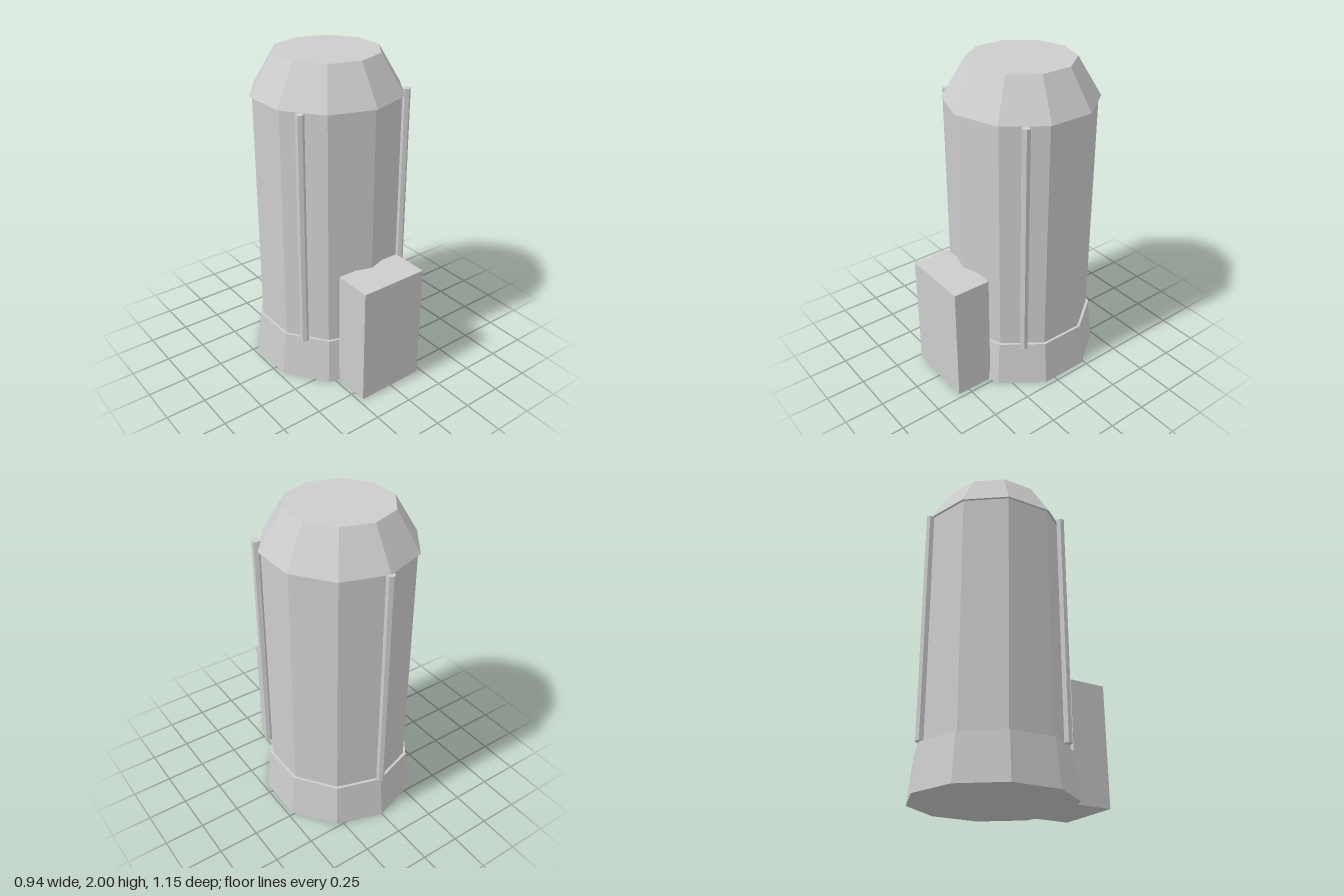
import * as THREE from 'three';

export function createModel() {
  const model = new THREE.Group();
  const grey = new THREE.MeshStandardMaterial({ color: 0xcccccc, flatShading: true });
  grey.name = 'light grey';
  const axisZ = -0.08; // the tower sits slightly behind the centre

  const add = (name, geometry, x, y, z) => {
    const mesh = new THREE.Mesh(geometry, grey);
    mesh.name = name;
    mesh.position.set(x, y, z);
    model.add(mesh);
  };
  // Upright prism between two heights
  const prism = (name, rTop, rBottom, y0, y1, sides, x, z) =>
    add(name, new THREE.CylinderGeometry(rTop, rBottom, y1 - y0, sides), x, (y0 + y1) / 2, z);

  // Ten-sided tower: flared base, straight body, tapered cap
  prism('base', 0.465, 0.496, 0, 0.29, 10, 0, axisZ);
  prism('body', 0.448, 0.448, 0.29, 1.763, 10, 0, axisZ);
  prism('cap', 0.32, 0.463, 1.763, 2, 10, 0, axisZ);

  // Three thin hexagonal pipes around the body
  [[0, -0.541], [0.38, 0.188], [-0.38, 0.188]].forEach(([x, z]) =>
    prism('pipe', 0.026, 0.026, 0.29, 1.763, 6, x, z));

  // Entrance block at the front
  add('entranceBlock', new THREE.BoxGeometry(0.442, 0.76, 0.242), 0, 0.38, 0.455);

  return model;
}
